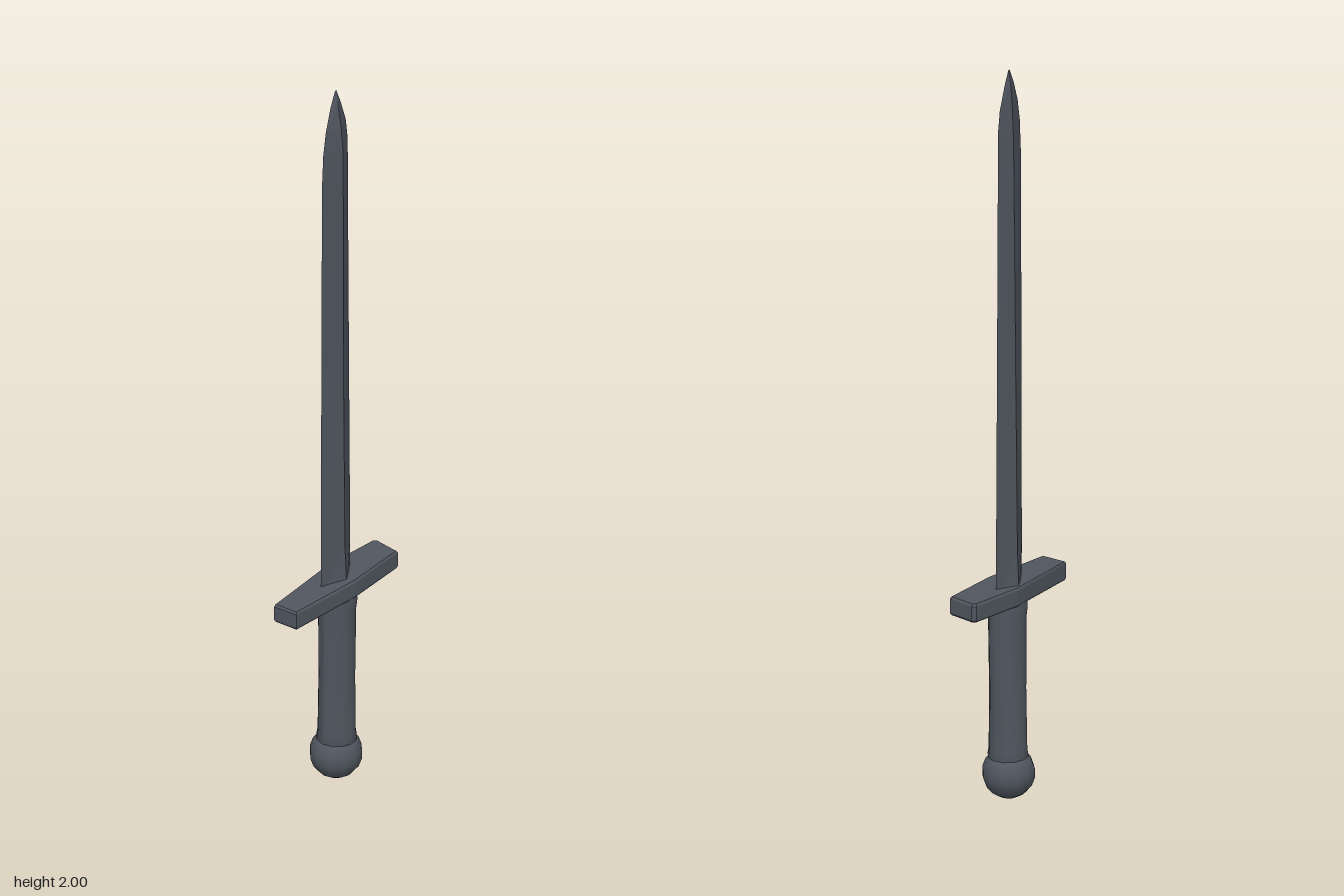
import * as THREE from 'three';

// Solid from matching rings of [x, y, z] corners, counter-clockwise seen from above, flat faceted
function loft(rings) {
  const pos = [];
  const tri = (a, b, c) => pos.push(...a, ...b, ...c);
  const n = rings[0].length;
  for (let r = 0; r < rings.length - 1; r++) {
    for (let i = 0; i < n; i++) {
      const j = (i + 1) % n, lo = rings[r], hi = rings[r + 1];
      tri(lo[i], lo[j], hi[j]);
      tri(lo[i], hi[j], hi[i]);
    }
  }
  const first = rings[0], last = rings[rings.length - 1];
  for (let i = 1; i < n - 1; i++) {
    tri(first[0], first[i + 1], first[i]);
    tri(last[0], last[i], last[i + 1]);
  }
  const g = new THREE.BufferGeometry();
  g.setAttribute('position', new THREE.Float32BufferAttribute(pos, 3));
  g.computeVertexNormals();
  return g;
}

export function createModel() {
  const group = new THREE.Group();
  const iron = new THREE.MeshStandardMaterial({ color: 0x50565f });
  iron.name = 'dark iron';

  const add = (name, geometry) => {
    const mesh = new THREE.Mesh(geometry, iron);
    mesh.name = name;
    group.add(mesh);
    return mesh;
  };

  // Round pommel
  const pommel = add('pommel', new THREE.SphereGeometry(0.069, 12, 9));
  pommel.position.set(-0.001, 0.068, -0.016);

  // Grip with a slight flare at both ends, leaning a little towards the guard
  const profile = [[0.046, 0.09], [0.053, 0.115], [0.05, 0.135], [0.048, 0.3], [0.05, 0.5], [0.053, 0.525], [0.05, 0.56]];
  const grip = new THREE.LatheGeometry(profile.map(([r, y]) => new THREE.Vector2(r, y)), 12);
  const p = grip.attributes.position;
  for (let i = 0; i < p.count; i++) {
    const t = (p.getY(i) - 0.1) / 0.45;
    p.setXYZ(i, p.getX(i) + 0.001 + 0.006 * t, p.getY(i), p.getZ(i) - 0.016 + 0.004 * t);
  }
  grip.computeVertexNormals();
  add('grip', grip);

  // Skewed, tilted crossguard, with a small bevel around each flat face
  const outline = [[-0.011, 0.203], [0.061, 0.197], [0.064, -0.02], [0.042, -0.2], [-0.035, -0.206], [-0.044, -0.198], [-0.048, -0.035]];
  const guardRing = (y, s) => outline.map(([x, z]) => [0.008 + (x - 0.008) * s, y - 0.037 * z, z * (1 - (1 - s) * 0.3)]);
  add('crossguard', loft([guardRing(0.538, 0.93), guardRing(0.544, 1), guardRing(0.583, 1), guardRing(0.589, 0.93)]));

  // Blade levels: y, front edge z, back edge z, left ridge x, right ridge x, edge twist
  const levels = [
    [0.56, 0.06, -0.08, 0.043, -0.036, 0.015],
    [0.68, 0.06, -0.08, 0.036, -0.03, 0.015],
    [1.2, 0.057, -0.073, 0.031, -0.024, 0.013],
    [1.75, 0.055, -0.064, 0.03, -0.018, 0.011],
    [1.84, 0.05, -0.062, 0.029, -0.016, 0.01],
    [1.9, 0.037, -0.054, 0.023, -0.013, 0.008],
    [1.96, 0.011, -0.033, 0.012, -0.008, 0.003],
    [2.0, -0.013, -0.016, 0.001, -0.001, 0],
  ];
  add('blade', loft(levels.map(([y, front, back, left, right, twist]) => {
    const mid = (left + right) / 2;
    return [
      [mid + twist, y, front],
      [left, y, -0.01],
      [mid - twist, y, back],
      [right, y, -0.016],
    ];
  })));

  return group;
}
